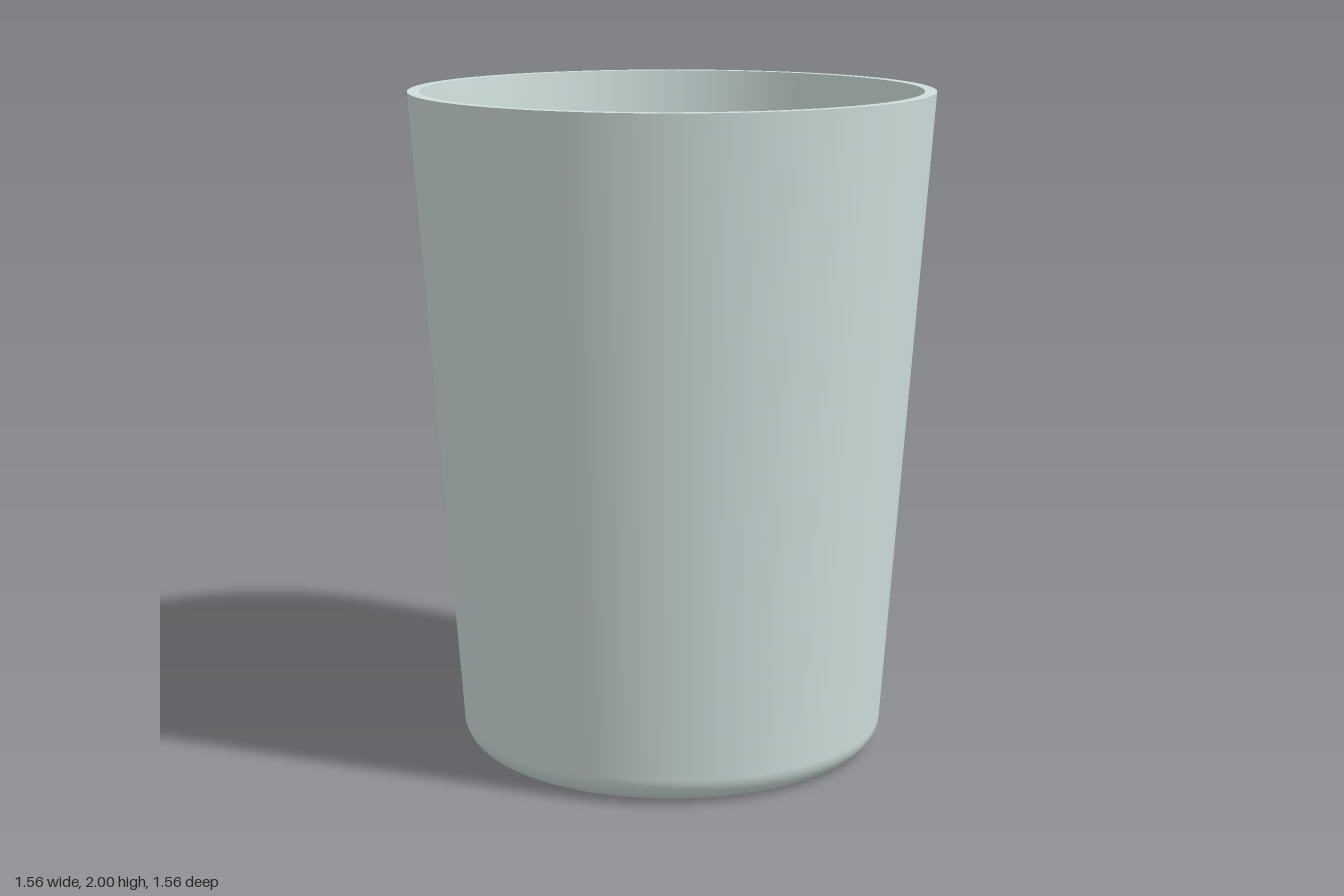
import * as THREE from 'three';

const SEGMENTS = 96;
const TILT = 0.0704; // wall lean from vertical, radians
const CORNER = { x: 0.56, y: 0.085 }; // shared centre of inner and outer bottom fillets

// Half section from the axis, along the bottom, round the fillet and up the wall
function section(filletRadius, rimRadius) {
  const points = [new THREE.Vector2(0, CORNER.y - filletRadius)];
  const steps = 12;
  for (let i = 0; i <= steps; i++) {
    const a = -Math.PI / 2 + (Math.PI / 2 - TILT) * (i / steps);
    points.push(new THREE.Vector2(
      CORNER.x + filletRadius * Math.cos(a),
      CORNER.y + filletRadius * Math.sin(a)
    ));
  }
  points.push(new THREE.Vector2(rimRadius, 2));
  return points;
}

export function createModel() {
  const cup = new THREE.Group();
  cup.name = 'cup';
  const material = new THREE.MeshStandardMaterial({ color: 0xcfdfdd });

  const addLathe = (name, points) => {
    const mesh = new THREE.Mesh(new THREE.LatheGeometry(points, SEGMENTS), material);
    mesh.name = name;
    cup.add(mesh);
  };

  const outer = section(0.085, 0.78);
  const inner = section(0.05, 0.745).reverse();

  // Separate surfaces keep the rim edges sharp
  addLathe('outerWall', outer);
  addLathe('rim', [outer[outer.length - 1], inner[0]]);
  addLathe('innerWall', inner);

  return cup;
}
